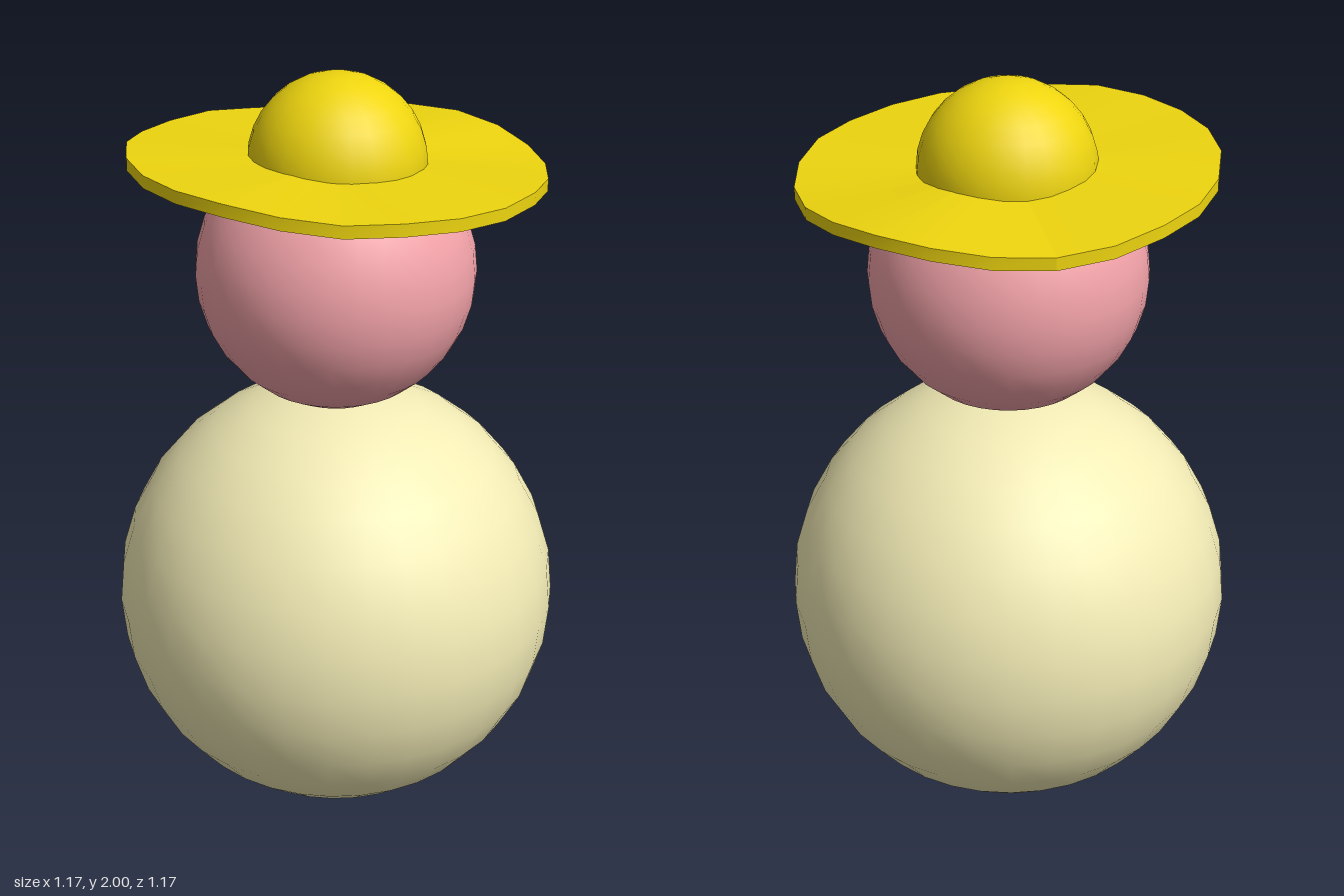
import * as THREE from 'three';

function ball(name, radius, y, color, segments) {
  const mesh = new THREE.Mesh(
    new THREE.SphereGeometry(radius, segments, segments / 2),
    new THREE.MeshStandardMaterial({ color }));
  mesh.name = name;
  mesh.position.y = y;
  return mesh;
}

// Height of the floppy brim's rim, sampled every 45 degrees from +x towards +z
const RIM = [-0.035, -0.01, 0.01, 0.04, 0.035, 0, -0.03, -0.01];
function rimLift(angle) {
  const t = ((angle / (Math.PI / 4)) + 16) % 8;
  const i = Math.floor(t) % 8;
  const s = (1 - Math.cos((t - Math.floor(t)) * Math.PI)) / 2;
  return RIM[i] * (1 - s) + RIM[(i + 1) % 8] * s;
}

export function createModel() {
  const group = new THREE.Group();
  group.name = 'figure';

  // Two stacked balls
  group.add(ball('body', 0.583, 0.583, 0xf2ebb5, 32));
  group.add(ball('head', 0.355, 1.5, 0xf3a3a9, 32));

  // Hat: wavy disc brim and round crown
  const hat = new THREE.Group();
  hat.name = 'hat';
  hat.position.set(0.005, 0, -0.01);
  const yellow = new THREE.MeshStandardMaterial({ color: 0xeed50f });

  const R = 0.52;
  const brimGeo = new THREE.CylinderGeometry(R, R, 0.032, 23, 1, false, Math.PI);
  const p = brimGeo.attributes.position;
  for (let i = 0; i < p.count; i++) {
    const x = p.getX(i), z = p.getZ(i);
    p.setY(i, p.getY(i) + rimLift(Math.atan2(z, x)) * Math.hypot(x, z) / R);
  }
  brimGeo.computeVertexNormals();
  const brim = new THREE.Mesh(brimGeo, yellow);
  brim.name = 'hatBrim';
  brim.position.y = 1.774;

  const crown = new THREE.Mesh(
    new THREE.SphereGeometry(0.224, 24, 8, 0, Math.PI * 2, 0, Math.PI / 2), yellow);
  crown.name = 'hatCrown';
  crown.position.y = 1.776;

  hat.add(brim, crown);
  group.add(hat);
  return group;
}
